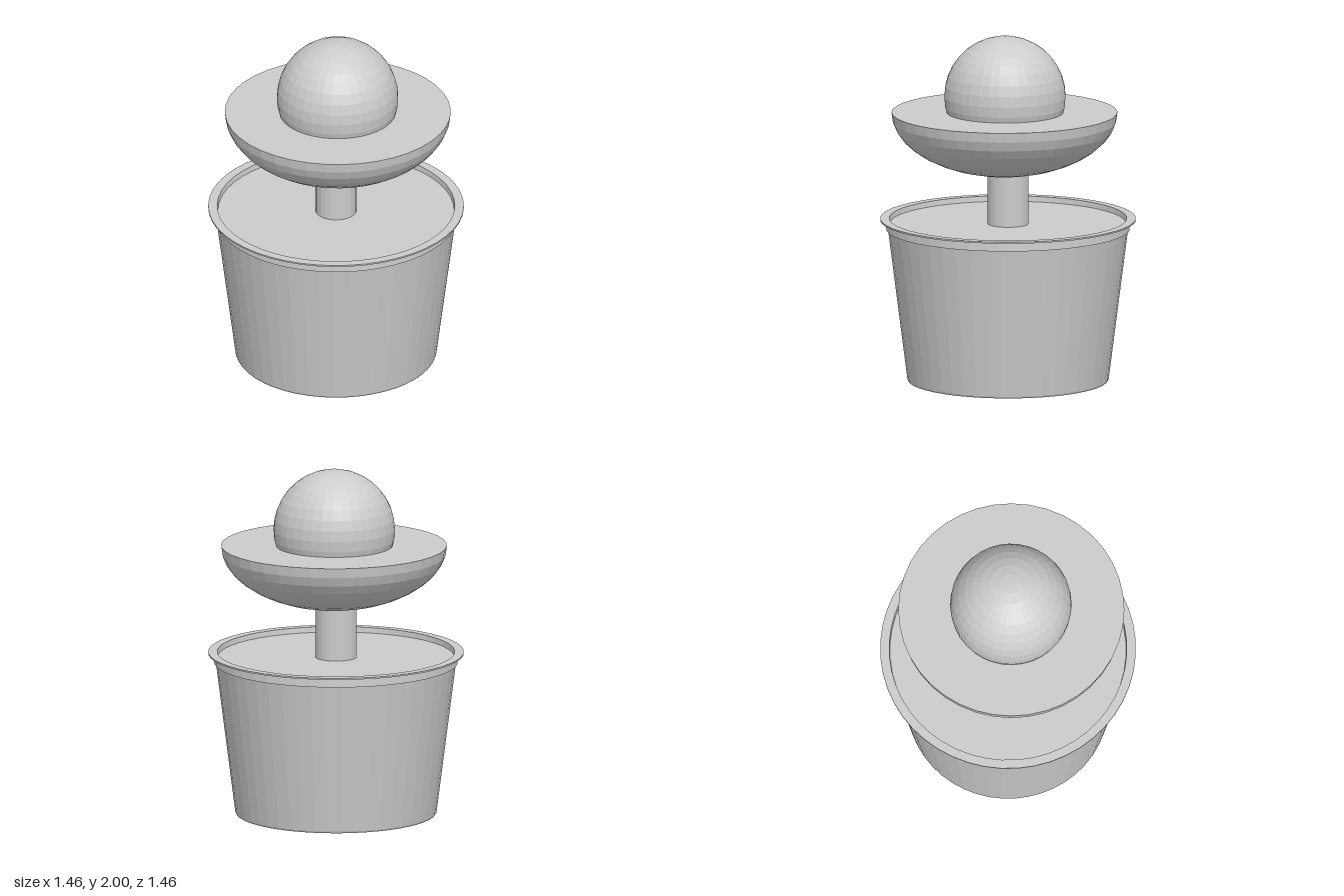
import * as THREE from 'three';

const material = new THREE.MeshStandardMaterial({ color: 0xcccccc, flatShading: true });

function part(name, geometry, x = 0, y = 0, z = 0) {
  const mesh = new THREE.Mesh(geometry, material);
  mesh.name = name;
  mesh.position.set(x, y, z);
  return mesh;
}

// Profile points run from the lower axis, outward, up and back to the upper axis.
function lathe(profile, segments) {
  return new THREE.LatheGeometry(profile.map(([r, y]) => new THREE.Vector2(r, y)), segments);
}

export function createModel() {
  const model = new THREE.Group();
  const offset = 0.015; // the flower head sits slightly off the pot's axis

  // Tapered pot with recessed base, collar, thin flange and filled top
  model.add(part('pot', lathe([
    [0, 0.02], [0.06, 0.02], [0.06, 0.01], [0.44, 0.01], [0.44, 0], [0.572, 0],
    [0.577, 0.01], [0.688, 0.88], [0.698, 0.88], [0.695, 0.932],
    [0.732, 0.932], [0.732, 0.941], [0.68, 0.941], [0.676, 0.91], [0, 0.91],
  ], 48)));

  // Stem from the soil into the bowl
  model.add(part('stem', new THREE.CylinderGeometry(0.118, 0.118, 0.36, 24), 0, 1.07, 0));

  // Half-ellipsoid bowl with a flat closed top
  const bowl = [];
  const rows = 10;
  for (let i = 0; i <= rows; i++) {
    const a = (i / rows) * Math.PI / 2;
    bowl.push([0.647 * Math.sin(a), -0.36 * Math.cos(a)]);
  }
  bowl.push([0, 0]);
  model.add(part('bowl', lathe(bowl, 40), offset, 1.56, offset));

  // Ball resting in the bowl
  model.add(part('ball', new THREE.SphereGeometry(0.348, 36, 18), offset - 0.002, 1.652, offset - 0.002));

  return model;
}
